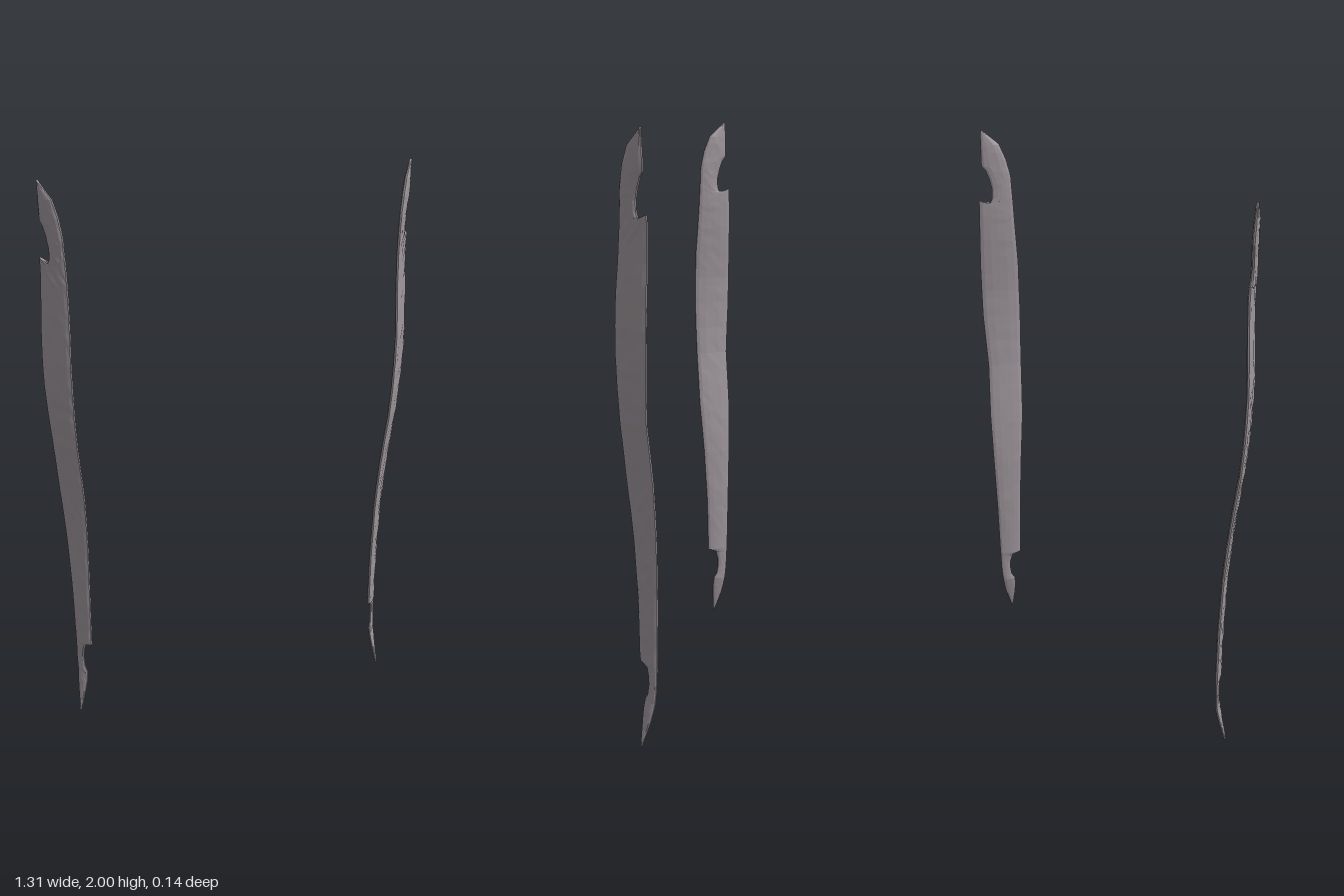
import * as THREE from 'three';

// Outline from the top tip down: [front edge u, y, rear edge u, y]
const OUTLINE = [
  [0.046, 1.995, 0.052, 2.0], [0.022, 1.975, 0.053, 1.97], [-0.012, 1.945, 0.053, 1.94],
  [-0.035, 1.89, 0.054, 1.895], [-0.042, 1.86, 0.054, 1.87],
  // upper notch in the rear edge
  [-0.046, 1.845, 0.04, 1.852], [-0.05, 1.82, 0.028, 1.82], [-0.051, 1.79, 0.02, 1.785],
  [-0.052, 1.77, 0.021, 1.75], [-0.053, 1.755, 0.03, 1.73], [-0.056, 1.69, 0.068, 1.746],
  // long blade
  [-0.058, 1.65, 0.070, 1.67], [-0.066, 1.5, 0.074, 1.5], [-0.067, 1.3, 0.073, 1.3],
  [-0.063, 1.1, 0.062, 1.1], [-0.059, 0.9, 0.066, 0.9], [-0.045, 0.7, 0.062, 0.7],
  [-0.034, 0.5, 0.057, 0.5], [-0.028, 0.285, 0.054, 0.285],
  // lower notch in the front edge, then the pointed foot
  [0.005, 0.272, 0.053, 0.262], [0.014, 0.24, 0.053, 0.235], [0.016, 0.21, 0.052, 0.21],
  [0.011, 0.175, 0.05, 0.175], [-0.001, 0.155, 0.047, 0.15], [-0.003, 0.12, 0.043, 0.12],
  [0.0, 0.08, 0.036, 0.08], [0.006, 0.03, 0.022, 0.03], [0.011, 0.0, 0.014, 0.0],
];

// Sideways bow of the blade: [y, offset along the plate normal]
const BOW = [
  [2, 0.02], [1.85, 0.015], [1.7, 0.012], [1.6, 0.015], [1.5, 0.02], [1.4, 0.024], [1.3, 0.023],
  [1.2, 0.019], [1.1, 0.012], [1.0, 0], [0.9, -0.011], [0.8, -0.02], [0.7, -0.027], [0.5, -0.034],
  [0.28, -0.035], [0.15, -0.031], [0.06, -0.014], [0, 0],
];

// Half thickness across the width: [fraction, scale]
const SECTION = [[0, 0.3], [0.1, 0.75], [0.3, 1], [0.5, 1.05], [0.7, 1], [0.9, 0.75], [1, 0.3]];
const HALF_THICKNESS = 0.0095;
const U = [0.55, -0.835]; // plate width direction (x, z)
const N = [0.835, 0.55];  // plate normal, pointing outward

function bowAt(y) {
  for (let i = 1; i < BOW.length; i++) {
    const [y0, c0] = BOW[i - 1], [y1, c1] = BOW[i];
    if (y >= y1) return c0 + (c1 - c0) * (y0 - y) / (y0 - y1);
  }
  return 0;
}

function seeded(seed) {
  return () => {
    seed = (seed * 16807) % 2147483647;
    return seed / 2147483647 - 0.5;
  };
}

// Subdivide the outline into short rows
function makeRows() {
  const rows = [OUTLINE[0]];
  for (let i = 1; i < OUTLINE.length; i++) {
    const a = OUTLINE[i - 1], b = OUTLINE[i];
    const steps = Math.ceil(Math.max(a[1] - b[1], a[3] - b[3]) / 0.035);
    for (let s = 1; s <= steps; s++) rows.push(a.map((v, k) => v + (b[k] - v) * s / steps));
  }
  return rows;
}

function bladeGeometry(side) {
  const rnd = seeded(4711);
  const rows = makeRows();
  const ring = SECTION.length * 2;
  const positions = [], index = [];
  const tri = (a, b, c) => (side > 0 ? index.push(a, b, c) : index.push(a, c, b));

  for (const [uA, yA, uB, yB] of rows) {
    const taper = Math.min(1, 0.4 + (uB - uA) * 8);
    for (let j = 0; j < ring; j++) {
      const outer = j < SECTION.length;
      const [t, k] = SECTION[outer ? j : ring - 1 - j];
      const u = uA + (uB - uA) * t;
      const y = yA + (yB - yA) * t;
      // hewn outer face, smoother inner face
      const rough = rnd() * (outer ? 0.0028 : 0.0012) * k * taper;
      const n = bowAt(y) + (outer ? 1 : -1) * HALF_THICKNESS * k * taper + rough;
      positions.push(side * (0.59 + u * U[0] + n * N[0]), y, u * U[1] + n * N[1]);
    }
  }
  for (let i = 0; i < rows.length - 1; i++) {
    for (let j = 0; j < ring; j++) {
      const a = i * ring + j, b = i * ring + (j + 1) % ring;
      tri(a, a + ring, b);
      tri(b, a + ring, b + ring);
    }
  }
  // close both tips
  const last = (rows.length - 1) * ring;
  for (let j = 1; j < ring - 1; j++) {
    tri(0, j, j + 1);
    tri(last, last + j + 1, last + j);
  }
  const geometry = new THREE.BufferGeometry();
  geometry.setAttribute('position', new THREE.Float32BufferAttribute(positions, 3));
  geometry.setIndex(index);
  geometry.computeVertexNormals();
  return geometry;
}

export function createModel() {
  const group = new THREE.Group();
  group.name = 'notchedBladePair';
  const material = new THREE.MeshStandardMaterial({ color: 0x9c9499 });
  material.name = 'warm grey';
  material.flatShading = true;
  for (const side of [1, -1]) {
    const blade = new THREE.Mesh(bladeGeometry(side), material);
    blade.name = side > 0 ? 'leftBlade' : 'rightBlade';
    group.add(blade);
  }
  return group;
}
